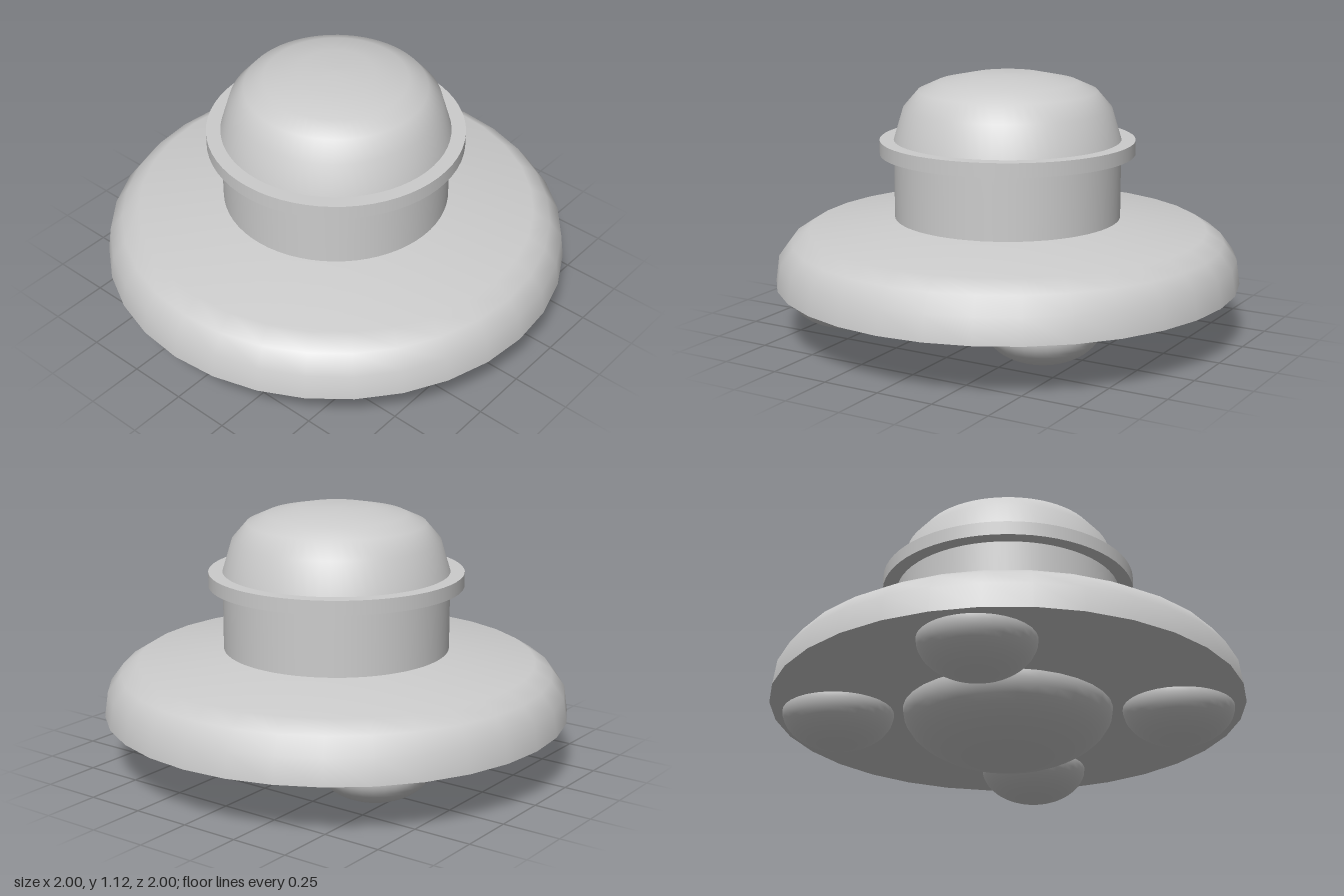
import * as THREE from 'three';

const material = new THREE.MeshStandardMaterial({ color: 0xcccccc });

// Turned part; each profile is a smooth run from bottom to top, with sharp edges between runs
function turned(name, segments, ...profiles) {
  const group = new THREE.Group();
  group.name = name;
  for (const profile of profiles) {
    const points = profile.map(([r, y]) => new THREE.Vector2(r, y));
    const mesh = new THREE.Mesh(new THREE.LatheGeometry(points, segments), material);
    mesh.name = name + 'Surface';
    group.add(mesh);
  }
  return group;
}

// Lower half of a flattened sphere hanging below height y
function bulge(name, radius, depth, x, y, z) {
  const geometry = new THREE.SphereGeometry(1, 32, 12, 0, Math.PI * 2, Math.PI / 2, Math.PI / 2);
  geometry.scale(radius, depth, radius);
  const mesh = new THREE.Mesh(geometry, material);
  mesh.name = name;
  mesh.position.set(x, y, z);
  return mesh;
}

export function createModel() {
  const model = new THREE.Group();
  model.name = 'flyingSaucer';
  const base = 0.23;

  // Wide saucer with a flat underside and rounded shoulder
  model.add(turned('saucerDisc', 32,
    [[0, base], [1, base]],
    [[1, base], [0.985, 0.337], [0.93, 0.41], [0.855, 0.457], [0.485, 0.505]]));

  // Cabin wall, projecting rim and domed roof
  model.add(turned('cabinWall', 64, [[0.485, 0.5], [0.485, 0.79]]));
  model.add(turned('cabinRim', 64,
    [[0.48, 0.78], [0.546, 0.78]],
    [[0.546, 0.78], [0.546, 0.84]],
    [[0.546, 0.84], [0.48, 0.84]]));
  model.add(turned('dome', 64,
    [[0.487, 0.835], [0.445, 0.975], [0.382, 1.048], [0.3, 1.085], [0.16, 1.115], [0, 1.118]]));

  // Central belly and four landing pods
  model.add(bulge('belly', 0.444, base, 0, base, 0));
  for (const sx of [-1, 1]) {
    for (const sz of [-1, 1]) {
      const name = (sz > 0 ? 'front' : 'back') + (sx > 0 ? 'Left' : 'Right') + 'Pod';
      model.add(bulge(name, 0.236, 0.152, sx * 0.475, base, sz * 0.54));
    }
  }
  return model;
}
